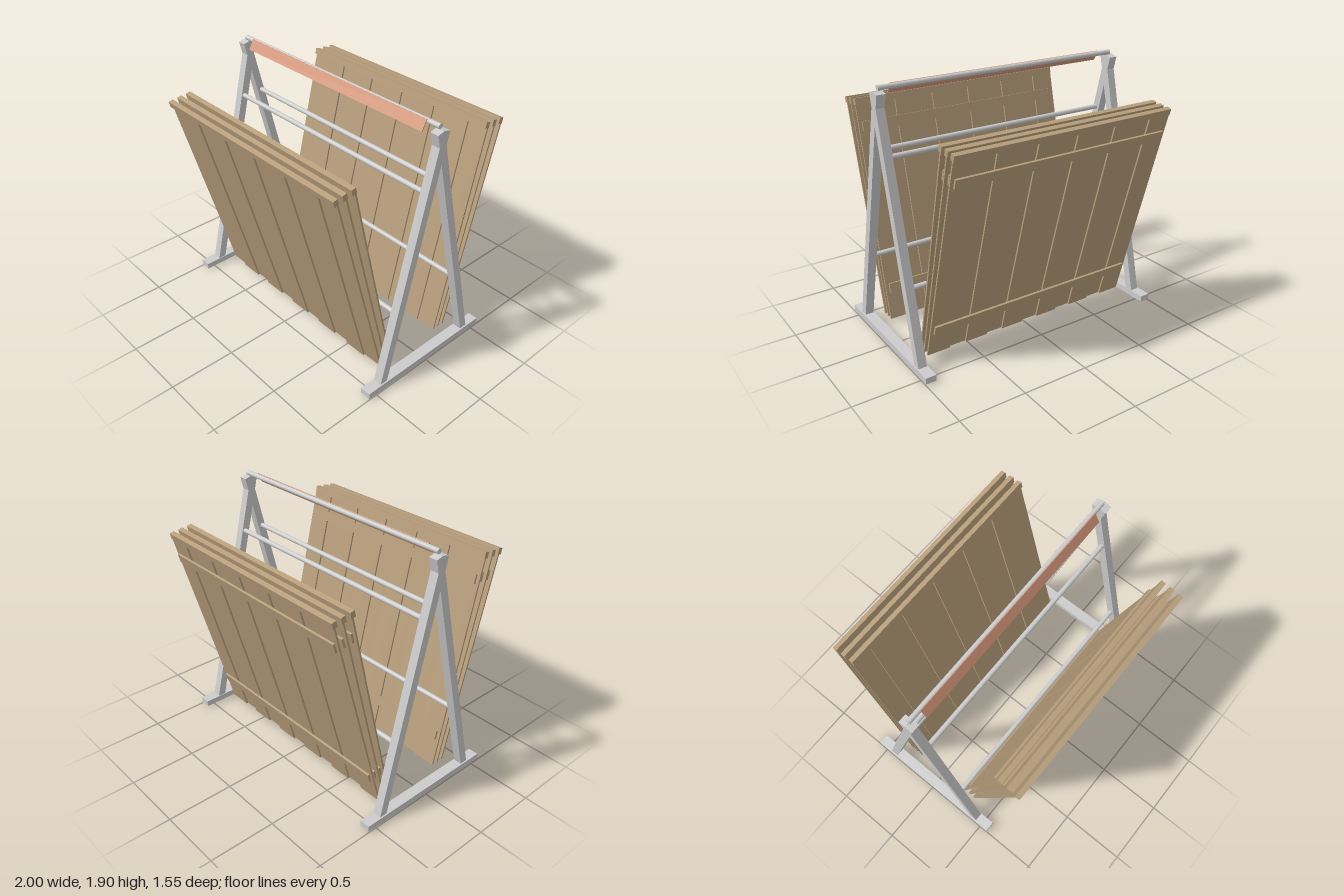
import * as THREE from 'three';

const metal = new THREE.MeshStandardMaterial({ color: 0xcccccc, flatShading: true });
const metalSmooth = new THREE.MeshStandardMaterial({ color: 0xcccccc });
const wood = new THREE.MeshStandardMaterial({ color: 0xb89f7c, flatShading: true });
const clay = new THREE.MeshStandardMaterial({ color: 0xd4977a, flatShading: true });

function box(name, parent, size, pos, material) {
  const mesh = new THREE.Mesh(new THREE.BoxGeometry(...size), material);
  mesh.name = name;
  mesh.position.set(...pos);
  parent.add(mesh);
  return mesh;
}

// Round bar running along x
function rod(name, parent, length, radius, y, z) {
  const geometry = new THREE.CylinderGeometry(radius, radius, length, 20);
  geometry.rotateZ(Math.PI / 2);
  const mesh = new THREE.Mesh(geometry, metalSmooth);
  mesh.name = name;
  mesh.position.set(0, y, z);
  parent.add(mesh);
}

// Hanging plank panel leaning from its bottom edge (z0, y0) to its cap (z1, y1)
function plankPanel(name, z0, y0, z1, y1) {
  const panel = new THREE.Group();
  panel.name = name;
  const length = Math.hypot(z1 - z0, y1 - y0);
  const layer = 0.013, plankWidth = 0.177, step = (1.72 - plankWidth) / 10;
  // Overlapping planks alternate between a rear and a front layer
  for (let i = 0; i < 11; i++) {
    const z = (i % 2 ? 0.5 : -0.5) * layer;
    box('plank', panel, [plankWidth, length, layer], [(i - 5) * step, length / 2, z], wood);
  }
  // Cross battens on the rear face
  for (const t of [0.145, 0.89]) {
    box('batten', panel, [1.67, 0.07, 0.016], [0, length * t, -layer - 0.008], wood);
  }
  box('topCap', panel, [1.72, 0.046, 0.036], [0, length, 0], wood);
  panel.position.set(0, y0, z0);
  panel.rotation.x = Math.atan2(z1 - z0, y1 - y0);
  return panel;
}

export function createModel() {
  const model = new THREE.Group();
  model.name = 'panelRack';

  // A-shaped end frames with crossing legs
  const legLow = { z: 0.432, y: 0.008 }, legHigh = { z: -0.025, y: 1.862 };
  const legLength = Math.hypot(legHigh.z - legLow.z, legHigh.y - legLow.y);
  for (const side of [1, -1]) {
    const frame = new THREE.Group();
    frame.name = side > 0 ? 'leftFrame' : 'rightFrame';
    box('foot', frame, [0.08, 0.046, 1.14], [side * 0.96, 0.033, 0], metal);
    for (const face of [1, -1]) {
      const leg = box(face > 0 ? 'frontLeg' : 'backLeg', frame, [0.064, legLength, 0.06],
        [side * 0.957, (legLow.y + legHigh.y) / 2, face * (legLow.z + legHigh.z) / 2], metal);
      leg.rotation.x = face * Math.atan2(legHigh.z - legLow.z, legHigh.y - legLow.y);
    }
    model.add(frame);
  }

  // Cross rods joining the frames
  for (const face of [1, -1]) {
    rod('upperRod', model, 1.88, 0.018, 1.447, face * 0.083);
    rod('lowerRod', model, 1.88, 0.018, 0.585, face * 0.292);
  }
  rod('topRod', model, 1.915, 0.018, 1.887, 0);

  // Sloping header strip on the top rod
  const header = box('headerStrip', model, [1.72, 0.083, 0.006], [0, 1.867, 0.034], clay);
  header.rotation.x = -0.5;

  // Three fanned panels on each side
  const bottoms = [0.232, 0.28, 0.328], tops = [0.61, 0.682, 0.753], heights = [1.64, 1.632, 1.624];
  for (const face of [1, -1]) {
    for (let i = 0; i < 3; i++) {
      model.add(plankPanel(face > 0 ? 'frontPanel' : 'backPanel',
        face * bottoms[i], 0.058, face * tops[i], heights[i]));
    }
  }
  return model;
}
